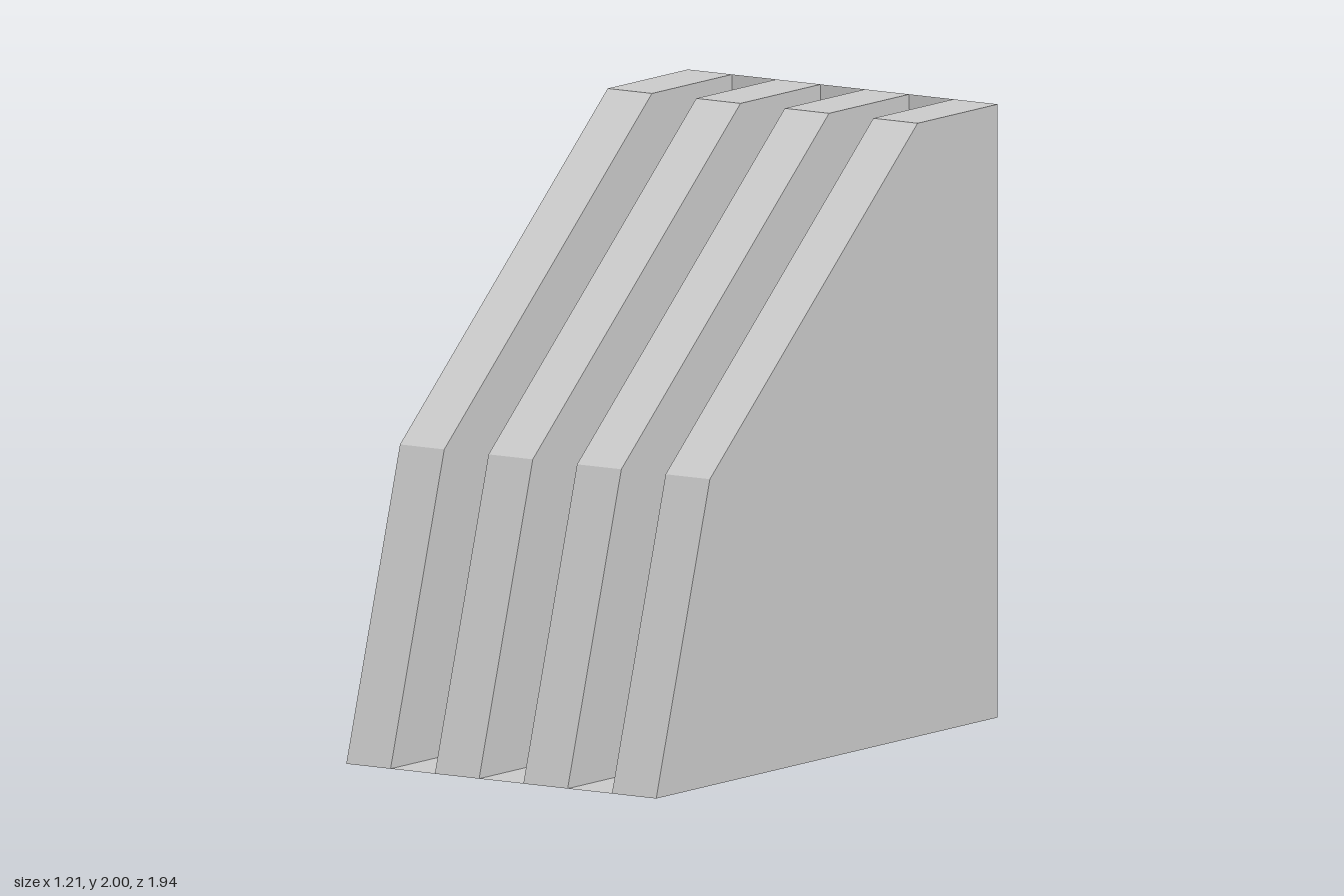
import * as THREE from 'three';

const PITCH = 1.21 / 7; // four fins and three gaps of equal width
const DEPTH = 1.94;
const HEIGHT = 2;

export function createModel() {
  const model = new THREE.Group();
  const solid = new THREE.MeshStandardMaterial({ color: 0xcccccc, flatShading: true });
  const thin = new THREE.MeshStandardMaterial({ color: 0xcccccc, flatShading: true, side: THREE.DoubleSide });

  // Side profile of a fin, drawn as (z, y)
  const profile = new THREE.Shape([
    [-0.97, 0], [0.97, 0], [0.665, 1], [-0.515, HEIGHT], [-0.97, HEIGHT],
  ].map(([z, y]) => new THREE.Vector2(z, y)));
  const finGeometry = new THREE.ExtrudeGeometry(profile, { depth: PITCH, bevelEnabled: false });
  finGeometry.translate(0, 0, -PITCH / 2).rotateY(-Math.PI / 2);

  // Thin sheets closing each gap underneath and behind
  const floorGeometry = new THREE.PlaneGeometry(PITCH, DEPTH).rotateX(-Math.PI / 2);
  const backGeometry = new THREE.PlaneGeometry(PITCH, HEIGHT).translate(0, HEIGHT / 2, -DEPTH / 2);

  const add = (name, geometry, material, x) => {
    const mesh = new THREE.Mesh(geometry, material);
    mesh.name = name;
    mesh.position.x = x;
    model.add(mesh);
  };

  // Alternate fins and gaps across the width
  for (let i = 0; i < 7; i++) {
    const x = (i - 3) * PITCH;
    if (i % 2 === 0) {
      add('fin', finGeometry, solid, x);
    } else {
      add('gapFloor', floorGeometry, thin, x);
      add('gapBack', backGeometry, thin, x);
    }
  }
  return model;
}
